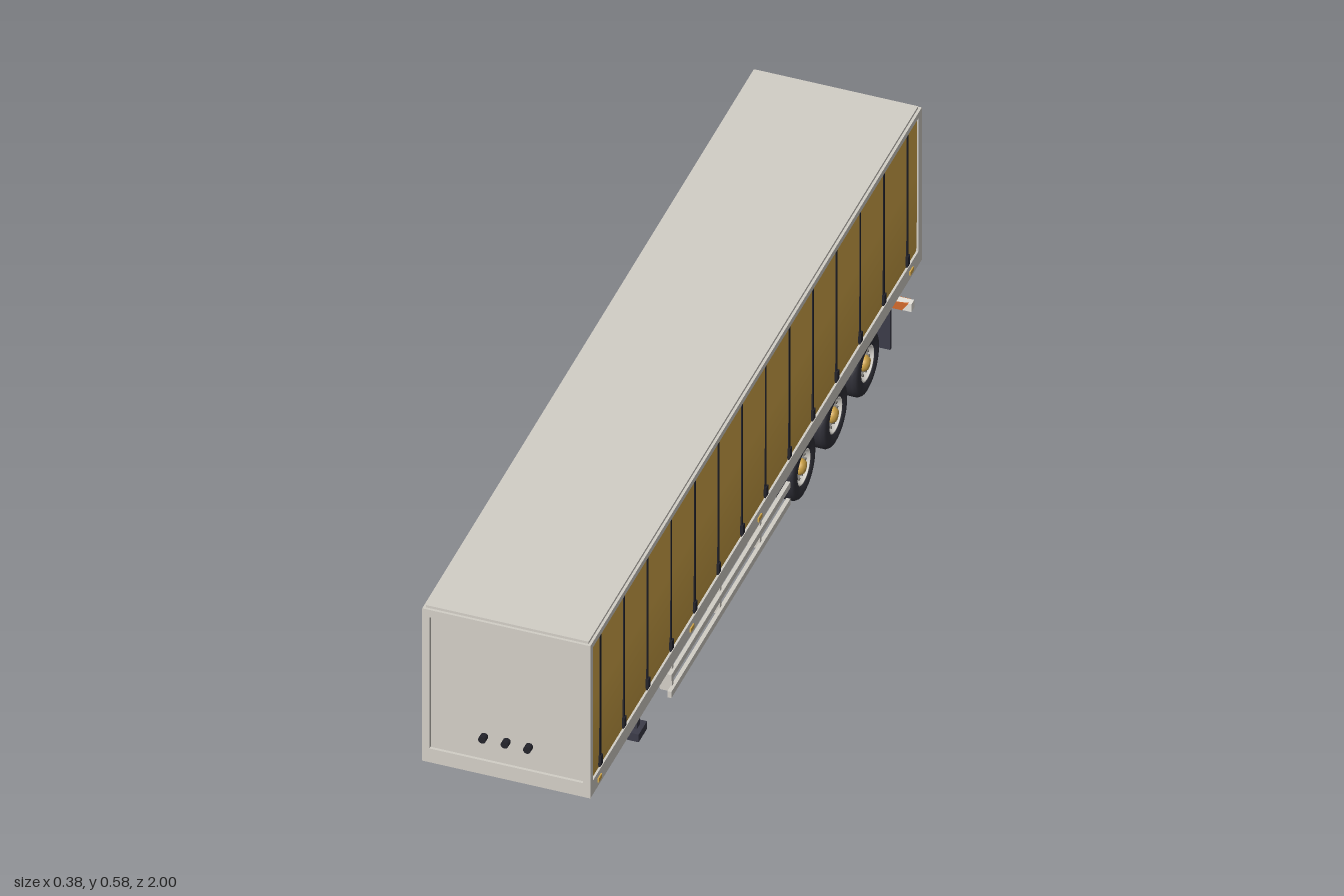
import * as THREE from 'three';

const mat = (name, color, side = THREE.FrontSide) => {
  const m = new THREE.MeshStandardMaterial({ color, side });
  m.name = name;
  return m;
};

export function createModel() {
  const grey = mat('body grey', 0xd2cec6);
  const gold = mat('curtain gold', 0xd3a749, THREE.DoubleSide);
  const steel = mat('chassis steel', 0x3b3b48, THREE.DoubleSide);
  const black = mat('strap black', 0x23232b);
  const under = mat('floor black', 0x1f1d23);
  const rubber = mat('tyre rubber', 0x303038);
  const orange = mat('signal orange', 0xd0692c);
  const white = mat('rim white', 0xe6e3dc);
  const seam = mat('seam grey', 0x6b6863);

  const root = new THREE.Group();
  root.name = 'semiTrailer';
  const group = (name, parent = root) => {
    const g = new THREE.Group();
    g.name = name;
    parent.add(g);
    return g;
  };
  const add = (parent, name, geo, m, x = 0, y = 0, z = 0) => {
    const mesh = new THREE.Mesh(geo, m);
    mesh.name = name;
    mesh.position.set(x, y, z);
    parent.add(mesh);
    return mesh;
  };
  // Box given by its limits on each axis
  const box = (parent, name, m, [x0, x1], [y0, y1], [z0, z1]) =>
    add(parent, name, new THREE.BoxGeometry(x1 - x0, y1 - y0, z1 - z0), m,
      (x0 + x1) / 2, (y0 + y1) / 2, (z0 + z1) / 2);
  // Box on one side, s = 1 for the left and -1 for the right
  const sideBox = (parent, name, m, s, [x0, x1], y, z) =>
    box(parent, name, m, s > 0 ? [x0, x1] : [-x1, -x0], y, z);
  // Round bar along x, or along y when upright
  const bar = (parent, name, m, r, len, x, y, z, upright = false, n = 12) => {
    const g = new THREE.CylinderGeometry(r, r, len, n);
    if (!upright) g.rotateZ(Math.PI / 2);
    return add(parent, name, g, m, x, y, z);
  };

  // Cargo body shell
  const body = group('cargoBody');
  box(body, 'core', grey, [-0.178, 0.178], [0.182, 0.572], [-0.978, 0.978]);
  box(body, 'floorUnderside', under, [-0.183, 0.183], [0.174, 0.182], [-0.98, 0.982]);
  box(body, 'roof', grey, [-0.181, 0.181], [0.57, 0.58], [-0.984, 0.982]);
  box(body, 'frontSeam', seam, [-0.171, 0.171], [0.211, 0.555], [0.976, 0.98]);
  box(body, 'frontPanel', grey, [-0.169, 0.169], [0.213, 0.553], [0.978, 0.984]);
  box(body, 'frontSill', grey, [-0.187, 0.187], [0.175, 0.211], [0.975, 0.988]);
  box(body, 'frontHeader', grey, [-0.187, 0.187], [0.555, 0.574], [0.975, 0.988]);
  box(body, 'rearSill', grey, [-0.187, 0.187], [0.175, 0.2], [-0.99, -0.97]);
  box(body, 'rearHeader', grey, [-0.187, 0.187], [0.556, 0.574], [-0.99, -0.97]);
  for (const x of [-0.05, 0, 0.05]) {
    const c = bar(body, 'airConnector', black, 0.0085, 0.022, x, 0.273, 0.989);
    c.rotation.y = Math.PI / 2;
  }

  // Curtain sides with straps, rails and corner posts
  for (const s of [1, -1]) {
    const side = group(s > 0 ? 'leftSide' : 'rightSide', body);
    sideBox(side, 'lowerRail', grey, s, [0.17, 0.187], [0.175, 0.211], [-0.98, 0.98]);
    sideBox(side, 'upperRail', grey, s, [0.17, 0.187], [0.56, 0.574], [-0.98, 0.98]);
    sideBox(side, 'frontPost', grey, s, [0.171, 0.187], [0.2, 0.57], [0.973, 0.988]);
    sideBox(side, 'rearPost', grey, s, [0.172, 0.187], [0.2, 0.57], [-0.99, -0.97]);
    // Curtain cloth, its normals rolling under towards the hem
    const cloth = new THREE.PlaneGeometry(1.944, 0.35, 1, 14);
    cloth.rotateY(s * Math.PI / 2);
    const p = cloth.attributes.position, n = cloth.attributes.normal;
    for (let i = 0; i < p.count; i++) {
      const t = Math.max(0, (0.02 - p.getY(i)) / 0.195);
      p.setX(i, -s * 0.002 * t * t);
      n.setXYZ(i, s * Math.cos(0.5 * t), -Math.sin(0.5 * t), 0);
    }
    add(side, 'curtain', cloth, gold, s * 0.184, 0.386, 0.002);
    for (let i = 0; i < 14; i++) {
      const z = 0.922 - i * 0.141;
      sideBox(side, 'strap', black, s, [0.18, 0.1855], [0.212, 0.56], [z - 0.0035, z + 0.0035]);
      sideBox(side, 'buckle', black, s, [0.18, 0.1885], [0.218, 0.242], [z - 0.006, z + 0.006]);
    }
    for (const z of [0.935, 0.385, -0.02, -0.925])
      sideBox(side, 'sideMarker', gold, s, [0.186, 0.19], [0.187, 0.197], [z - 0.01, z + 0.01]);
  }

  // Rear doors with lock rods and hinges
  const doors = group('rearDoors');
  box(doors, 'doorSeam', seam, [-0.172, 0.172], [0.2, 0.556], [-0.982, -0.977]);
  box(doors, 'centreStrip', gold, [-0.003, 0.003], [0.205, 0.552], [-0.991, -0.982]);
  box(doors, 'topMarker', orange, [-0.03, 0.03], [0.559, 0.571], [-0.994, -0.988]);
  for (const s of [1, -1]) {
    sideBox(doors, 'door', grey, s, [0.004, 0.17], [0.203, 0.553], [-0.988, -0.979]);
    for (const x of [0.05, 0.125]) {
      bar(doors, 'lockRod', seam, 0.0035, 0.345, s * x, 0.378, -0.992, true, 8);
      for (const y of [0.215, 0.38, 0.54])
        sideBox(doors, 'rodClamp', black, s, [x - 0.007, x + 0.007], [y - 0.005, y + 0.005], [-0.997, -0.987]);
      sideBox(doors, 'lockHandle', black, s, [x - 0.03, x + 0.006], [0.303, 0.311], [-1, -0.988]);
    }
    for (const y of [0.24, 0.335, 0.43, 0.525])
      sideBox(doors, 'hinge', black, s, [0.158, 0.184], [y - 0.006, y + 0.006], [-0.996, -0.987]);
  }

  // Chassis beams with a tapered nose, and cross members
  const chassis = group('chassis');
  const beam = new THREE.Shape([[0.6, 0.176], [0.6, 0.165], [0.5, 0.135], [-0.78, 0.13], [-0.9, 0.15], [-0.97, 0.15], [-0.97, 0.176]]
    .map(([z, y]) => new THREE.Vector2(z, y)));
  for (const s of [1, -1]) {
    const g = new THREE.ExtrudeGeometry(beam, { depth: 0.01, bevelEnabled: false });
    g.rotateY(-Math.PI / 2);
    add(chassis, 'mainBeam', g, steel, s * 0.072 + 0.005);
    sideBox(chassis, 'beamFlange', steel, s, [0.06, 0.084], [0.13, 0.135], [-0.78, 0.5]);
  }
  for (let i = 0; i < 13; i++) {
    const z = 0.59 - i * 0.126;
    box(chassis, 'crossMember', steel, [-0.17, 0.17], [0.159, 0.175], [z - 0.009, z + 0.009]);
  }
  bar(chassis, 'kingpin', steel, 0.007, 0.014, 0, 0.168, 0.85, true);

  // Landing legs
  const landing = group('landingGear');
  for (const s of [1, -1]) {
    sideBox(landing, 'upperLeg', steel, s, [0.104, 0.128], [0.075, 0.165], [0.521, 0.549]);
    sideBox(landing, 'lowerLeg', steel, s, [0.107, 0.125], [0.02, 0.08], [0.526, 0.544]);
    sideBox(landing, 'foot', steel, s, [0.096, 0.135], [0.003, 0.023], [0.51, 0.56]);
    sideBox(landing, 'legBracket', steel, s, [0.078, 0.112], [0.14, 0.165], [0.525, 0.545]);
  }
  box(landing, 'legBrace', steel, [-0.11, 0.11], [0.111, 0.125], [0.53, 0.54]);
  box(landing, 'gearbox', steel, [-0.12, -0.075], [0.112, 0.136], [0.54, 0.575]);
  const crank = new THREE.CatmullRomCurve3([[-0.1, 0.138], [-0.143, 0.138], [-0.147, 0.134], [-0.147, 0.1], [-0.15, 0.096], [-0.162, 0.096]]
    .map(([x, y]) => new THREE.Vector3(x, y, 0.6)), false, 'catmullrom', 0.1);
  add(landing, 'crank', new THREE.TubeGeometry(crank, 24, 0.003, 6), steel);
  box(landing, 'crankShaft', steel, [-0.11, -0.09], [0.118, 0.132], [0.57, 0.635]);

  // Side guards
  for (const s of [1, -1]) {
    const guard = group(s > 0 ? 'leftSideGuard' : 'rightSideGuard');
    for (const y of [0.125, 0.081]) {
      sideBox(guard, 'guardRail', grey, s, [0.169, 0.178], [y - 0.008, y + 0.008], [-0.23, 0.48]);
    }
    for (const z of [0.455, 0.17, -0.07]) {
      const plate = new THREE.Shape([[0.125, 0.176], [0.172, 0.176], [0.172, 0.074], [0.145, 0.074]]
        .map(([x, y]) => new THREE.Vector2(s * x, y)));
      add(guard, 'guardPost', new THREE.ExtrudeGeometry(plate, { depth: 0.01, bevelEnabled: false }), grey, 0, 0, z - 0.005);
    }
  }

  // Three axles with wheels, air springs and mudguards
  const lathe = pts => {
    const g = new THREE.LatheGeometry(pts.map(([r, x]) => new THREE.Vector2(r, x)), 32);
    return g.rotateZ(-Math.PI / 2);
  };
  const tyreGeo = lathe([[0.04, -0.03], [0.062, -0.03], [0.07, -0.027], [0.074, -0.02], [0.074, 0.02], [0.07, 0.027], [0.062, 0.03], [0.042, 0.029], [0.039, 0.022]]);
  const rimGeo = lathe([[0, -0.02], [0.041, -0.028], [0.041, 0.027], [0.037, 0.027], [0.033, 0.016], [0.024, 0.02], [0, 0.02]]);
  const hubGeo = lathe([[0.018, 0.015], [0.018, 0.023], [0.013, 0.03], [0, 0.032]]);
  const running = group('runningGear');
  for (const z of [-0.357, -0.547, -0.737]) {
    const axle = group('axle', running);
    bar(axle, 'axleTube', steel, 0.009, 0.24, 0, 0.077, z, false, 16);
    for (const s of [1, -1]) {
      const wheel = group('wheel', axle);
      wheel.position.set(s * 0.133, 0.076, z);
      if (s < 0) wheel.rotation.y = Math.PI;
      add(wheel, 'tyre', tyreGeo, rubber);
      add(wheel, 'rim', rimGeo, white);
      add(wheel, 'hub', hubGeo, gold);
      for (let i = 0; i < 10; i++) {
        const a = i * Math.PI / 5;
        bar(wheel, 'wheelNut', seam, 0.003, 0.008, 0.018, 0.028 * Math.sin(a), 0.028 * Math.cos(a), false, 6);
      }
      sideBox(axle, 'hangerBracket', steel, s, [0.064, 0.084], [0.09, 0.135], [z + 0.07, z + 0.1]);
      const arm = sideBox(axle, 'trailingArm', steel, s, [0.066, 0.082], [0.085, 0.099], [z - 0.08, z + 0.09]);
      arm.rotation.x = -0.08;
      bar(axle, 'airSpring', rubber, 0.02, 0.045, s * 0.074, 0.112, z - 0.065, true, 16);
      const arc = new THREE.CylinderGeometry(0.082, 0.082, 0.058, 16, 1, true, -0.9, 1.8);
      arc.rotateX(-Math.PI / 2).rotateY(Math.PI / 2);
      // Arc centred above the wheel
      const c = new THREE.Vector3();
      arc.computeBoundingBox();
      arc.boundingBox.getCenter(c);
      if (c.y < 0) arc.rotateX(Math.PI);
      add(axle, 'mudguard', arc, steel, s * 0.135, 0.078, z);
    }
  }

  // Rear mudflaps, lamps and striped bumper
  const rear = group('rearGear');
  for (const s of [1, -1]) {
    sideBox(rear, 'mudflap', steel, s, [0.115, 0.172], [0.04, 0.165], [-0.848, -0.842]);
    sideBox(rear, 'flapBracket', steel, s, [0.08, 0.172], [0.155, 0.168], [-0.855, -0.842]);
    sideBox(rear, 'lampHousing', steel, s, [0.115, 0.177], [0.156, 0.176], [-0.975, -0.95]);
    sideBox(rear, 'tailLamp', orange, s, [0.118, 0.174], [0.158, 0.174], [-0.983, -0.975]);
    sideBox(rear, 'bumperArm', steel, s, [0.066, 0.084], [0.065, 0.16], [-0.96, -0.94]);
  }
  box(rear, 'lampBar', steel, [-0.115, 0.115], [0.158, 0.172], [-0.968, -0.952]);
  box(rear, 'bumper', white, [-0.177, 0.177], [0.06, 0.08], [-0.972, -0.955]);
  for (let i = 0; i < 6; i++) {
    const x = -0.15 + i * 0.06;
    const stripe = new THREE.Shape([[-0.02, 0.06], [0.006, 0.06], [0.02, 0.08], [-0.006, 0.08]]
      .map(([a, y]) => new THREE.Vector2(x + a, y)));
    add(rear, 'bumperStripe', new THREE.ExtrudeGeometry(stripe, { depth: 0.019, bevelEnabled: false }), orange, 0, 0, -0.973);
  }
  return root;
}
